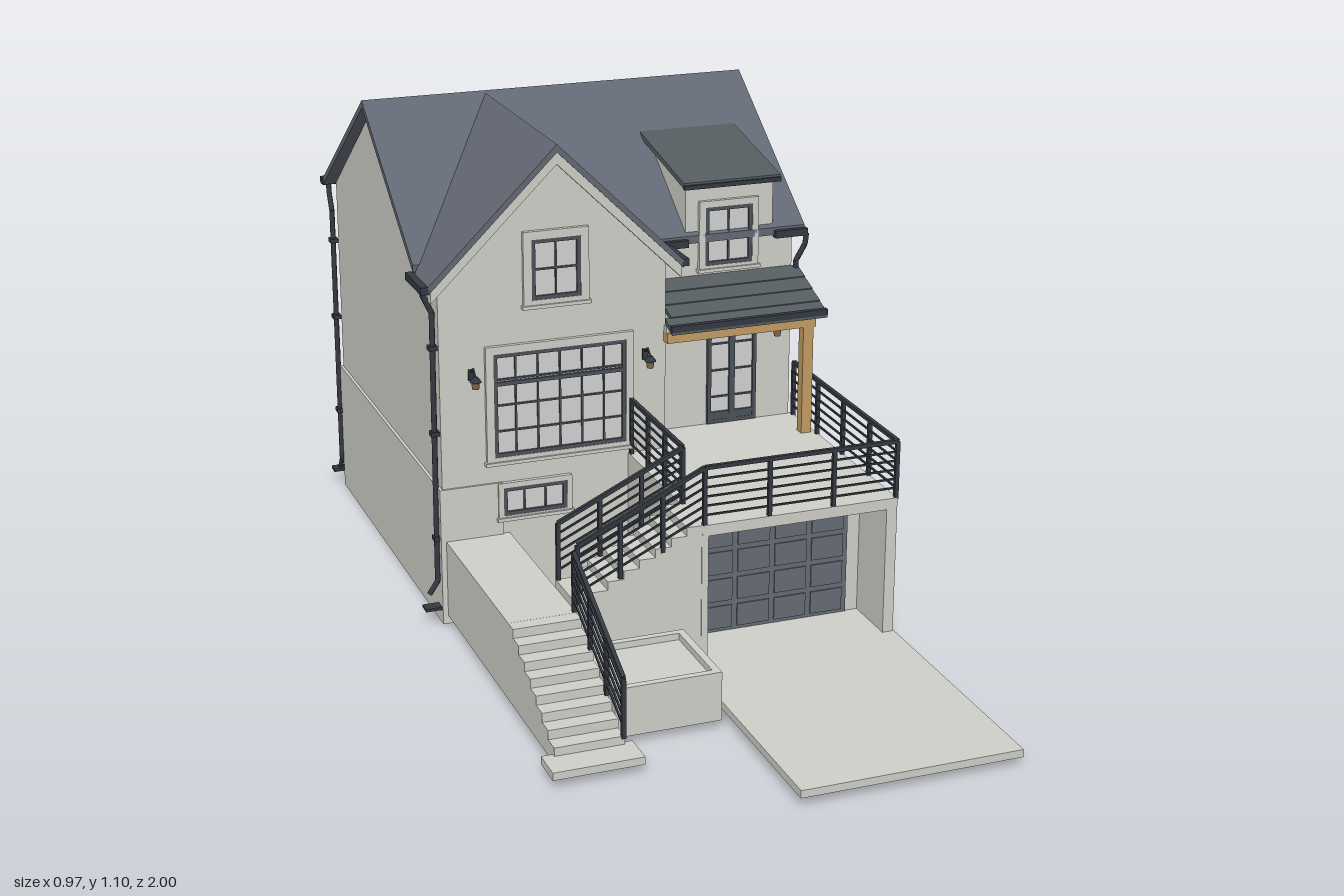
import * as THREE from 'three';

const mat = (name, color) => {
  const m = new THREE.MeshStandardMaterial({ color });
  m.name = name;
  return m;
};
const V = (x, y, z) => new THREE.Vector3(x, y, z);

export function createModel() {
  const model = new THREE.Group();
  model.name = 'house';
  const wall = mat('wall', 0xcfcfc9), roof = mat('roofSlate', 0x626873), metalRoof = mat('metalRoof', 0x555c60);
  const garage = mat('garageDoor', 0x656b75), frame = mat('windowFrame', 0x4c515a), iron = mat('iron', 0x343941);
  const wood = mat('wood', 0xc29c64), glass = mat('glass', 0xd0d2d0), brass = mat('lampBrass', 0x8a6a48);

  const add = (name, geo, m, parent = model) => {
    const mesh = new THREE.Mesh(geo, m);
    mesh.name = name;
    parent.add(mesh);
    return mesh;
  };
  const group = (name) => {
    const g = new THREE.Group();
    g.name = name;
    model.add(g);
    return g;
  };
  const box = (name, m, x0, x1, y0, y1, z0, z1, parent) => {
    const b = add(name, new THREE.BoxGeometry(x1 - x0, y1 - y0, z1 - z0), m, parent);
    b.position.set((x0 + x1) / 2, (y0 + y1) / 2, (z0 + z1) / 2);
    return b;
  };
  // Straight bar between two points, square or round
  const bar = (name, m, a, b, size, parent, round = false) => {
    const len = a.distanceTo(b);
    const geo = round ? new THREE.CylinderGeometry(size / 2, size / 2, len, 8).rotateX(Math.PI / 2)
      : new THREE.BoxGeometry(size, size, len);
    const mesh = add(name, geo, m, parent);
    mesh.position.copy(a).lerp(b, 0.5);
    mesh.lookAt(b);
    return mesh;
  };
  const extrude = (pts, depth) => new THREE.ExtrudeGeometry(
    new THREE.Shape(pts.map(([x, y]) => new THREE.Vector2(x, y))), { depth, bevelEnabled: false });
  // Rectangular ring, lower edge at y0
  const ring = (w, y0, y1, t, depth) => {
    const rect = (C, a, b, c) => new C([[-a, b], [a, b], [a, c], [-a, c]].map(([x, y]) => new THREE.Vector2(x, y)));
    const s = rect(THREE.Shape, w / 2, y0, y1);
    s.holes.push(rect(THREE.Path, w / 2 - t, y0 + t, y1 - t));
    return new THREE.ExtrudeGeometry(s, { depth, bevelEnabled: false });
  };
  // Sloping slab: top corners back-left, front-left, front-right, back-right
  const slab = (name, m, top, t, parent) => {
    const p = top.map((q) => V(...q)), d = p.map((q) => V(q.x, q.y - t, q.z)), out = [];
    const quad = (a, b, c, e) => [a, b, c, a, c, e].forEach((q) => out.push(q.x, q.y, q.z));
    quad(...p);
    quad(d[3], d[2], d[1], d[0]);
    for (let i = 0; i < 4; i++) {
      const j = (i + 1) % 4;
      quad(p[i], d[i], d[j], p[j]);
    }
    const g = new THREE.BufferGeometry();
    g.setAttribute('position', new THREE.Float32BufferAttribute(out, 3));
    g.computeVertexNormals();
    return add(name, g, m, parent);
  };

  // Walls
  add('mainHouse', extrude([[0.165, 0], [0.95, 0], [0.95, 0.805], [0.56, 1.08], [0.165, 0.807]], 0.885)
    .rotateY(Math.PI / 2), wall).position.x = -0.44;
  add('frontGable', extrude([[-0.44, 0], [0.09, 0], [0.09, 0.82], [-0.17, 1.075], [-0.44, 0.81]], 0.36), wall)
    .position.z = -0.055 - 0.36;
  box('rearPlinth', wall, -0.447, 0.46, 0, 0.325, -0.957, -0.2);
  box('leftPlinth', wall, -0.447, -0.3, 0, 0.325, -0.3, -0.05);
  box('rightPlinth', wall, 0.2, 0.46, 0, 0.325, -0.3, 0.27);

  // Garage under the deck
  box('garageBody', wall, 0, 0.455, 0, 0.355, -0.17, 0.265);
  box('deckEdge', wall, 0, 0.455, 0.33, 0.355, 0.26, 0.405);
  box('leftPier', wall, -0.002, 0.013, 0.02, 0.333, 0.26, 0.405);
  box('rightPier', wall, 0.43, 0.455, 0.02, 0.333, 0.26, 0.405);
  box('garageDoor', garage, 0.035, 0.4, 0.035, 0.305, 0.26, 0.273);
  for (let r = 0; r < 4; r++) for (let c = 0; c < 4; c++) {
    const x = 0.047 + c * 0.0885, y = 0.045 + r * 0.065;
    box('garagePanel', garage, x, x + 0.076, y, y + 0.053, 0.27, 0.276);
  }
  box('driveway', wall, -0.03, 0.458, 0.02, 0.037, 0.26, 1);

  // Stairs, landing and planter
  const stairs = group('stairs');
  box('bottomSlab', wall, -0.46, -0.265, 0.02, 0.037, 0.69, 0.765, stairs);
  box('landing', wall, -0.435, -0.285, 0.02, 0.2, -0.055, 0.405, stairs);
  for (let i = 0; i < 8; i++) {
    box('lowerStep', wall, -0.435, -0.285, 0.02, 0.035 + (i + 1) * 0.0206, 0.4, 0.7 - i * 0.0375, stairs);
    box('upperStep', wall, -0.285 + i * 0.0356, 0, 0.02, 0.2 + (i + 1) * 0.0194, 0.27, 0.403, stairs);
  }
  add('planterWalls', ring(0.235, -0.11, 0.11, 0.016, 0.11).rotateX(-Math.PI / 2), wall).position.set(-0.167, 0.02, 0.53);
  box('planterFill', wall, -0.27, -0.06, 0.02, 0.115, 0.43, 0.63);

  // Roofs
  const roofs = group('roofs');
  slab('rearRoof', roof, [[-0.465, 0.81, -0.985], [-0.465, 1.1, -0.56], [0.472, 1.1, -0.56], [0.472, 0.81, -0.985]], 0.018, roofs);
  slab('frontRoof', roof, [[-0.465, 1.1, -0.56], [-0.465, 0.82, -0.155], [0.472, 0.82, -0.155], [0.472, 1.1, -0.56]], 0.018, roofs);
  slab('gableRoofLeft', roof, [[-0.465, 0.805, -0.14], [-0.465, 0.805, -0.033], [-0.17, 1.095, -0.033], [-0.17, 1.095, -0.556]], 0.018, roofs);
  slab('gableRoofRight', roof, [[-0.17, 1.095, -0.556], [-0.17, 1.095, -0.033], [0.125, 0.805, -0.033], [0.125, 0.805, -0.14]], 0.018, roofs);
  slab('rakeTrimLeft', wall, [[-0.46, 0.795, -0.06], [-0.46, 0.795, -0.036], [-0.17, 1.08, -0.036], [-0.17, 1.08, -0.06]], 0.03, roofs);
  slab('rakeTrimRight', wall, [[-0.17, 1.08, -0.06], [-0.17, 1.08, -0.036], [0.12, 0.795, -0.036], [0.12, 0.795, -0.06]], 0.03, roofs);

  // Dormer
  add('dormerWalls', extrude([[0.165, 0.7], [0.43, 0.7], [0.43, 1], [0.165, 0.935]], 0.215).rotateY(Math.PI / 2), wall)
    .position.x = 0.18;
  slab('dormerRoof', metalRoof, [[0.165, 1.012, -0.46], [0.165, 0.95, -0.138], [0.402, 0.95, -0.138], [0.402, 1.012, -0.46]], 0.013);
  box('dormerFascia', iron, 0.165, 0.402, 0.935, 0.945, -0.142, -0.132);

  // Porch canopy: overlapping courses on a timber frame
  const porch = group('porch');
  for (let i = 0; i < 4; i++) {
    const z0 = -0.165 + i * 0.043, y0 = 0.722 - i * 0.0165, x0 = 0.095 - (i === 3 ? 0.014 : 0);
    slab('canopyCourse', metalRoof, [[x0, y0, z0], [x0, y0 - 0.015, z0 + 0.046], [0.46, y0 - 0.015, z0 + 0.046], [0.46, y0, z0]], 0.012, porch);
  }
  box('canopyGutter', iron, 0.08, 0.46, 0.652, 0.666, -0.002, 0.012, porch);
  box('canopyFascia', wall, 0.085, 0.45, 0.635, 0.652, -0.05, -0.035, porch);
  box('frontBeam', wood, 0.085, 0.45, 0.613, 0.637, -0.055, -0.03, porch);
  box('sideBeam', wood, 0.42, 0.445, 0.613, 0.637, -0.165, -0.03, porch);
  box('post', wood, 0.419, 0.444, 0.355, 0.63, -0.055, -0.03, porch);

  // Gutters and downpipes
  const drains = group('drainage');
  const gutter = (x0, x1, y, z0, z1) => box('gutter', iron, x0, x1, y, y + 0.017, z0, z1, drains);
  gutter(-0.468, 0.475, 0.795, -1, -0.98);
  gutter(0.125, 0.18, 0.797, -0.16, -0.142);
  gutter(0.395, 0.475, 0.797, -0.16, -0.142);
  gutter(-0.482, -0.462, 0.788, -0.16, -0.033);
  gutter(0.122, 0.138, 0.79, -0.15, -0.033);
  const pipe = (pts) => pts.slice(1).forEach((p, i) => bar('downpipe', iron, V(...pts[i]), V(...p), 0.013, drains, true));
  for (const x of [-0.45, 0.462]) {
    pipe([[x, 0.8, -0.99], [x, 0.77, -0.985], [x, 0.73, -0.964], [x, 0.07, -0.964], [x, 0.04, -0.985]]);
    box('splashBlock', iron, x - 0.02, x + 0.015, 0.032, 0.04, -0.998, -0.97, drains);
  }
  pipe([[-0.472, 0.8, -0.07], [-0.468, 0.775, -0.07], [-0.449, 0.735, -0.07], [-0.452, 0.1, -0.07], [-0.472, 0.07, -0.07]]);
  box('splashBlock', iron, -0.485, -0.435, 0.033, 0.04, -0.085, -0.055, drains);
  pipe([[0.475, 0.8, -0.15], [0.472, 0.775, -0.15], [0.453, 0.735, -0.157], [0.453, 0.69, -0.157]]);
  for (const y of [0.2, 0.45, 0.65]) {
    for (const x of [-0.45, 0.462]) box('pipeClip', iron, x - 0.01, x + 0.01, y, y + 0.01, -0.973, -0.95, drains);
    box('pipeClip', iron, -0.46, -0.44, y, y + 0.01, -0.08, -0.06, drains);
  }

  // Windows and door: ring surround, dark frame, glass and glazing bars
  const opening = (name, w, y0, y1, cols, rows, trim, x, z, turn = 0) => {
    const g = group(name);
    if (trim) {
      add('surround', ring(w + trim * 2, y0 - trim, y1 + trim, trim, 0.01), wall, g);
      box('sill', wall, -w / 2 - trim - 0.004, w / 2 + trim + 0.004, y0 - trim, y0 - trim + 0.008, 0, 0.015, g);
    }
    add('frame', ring(w, y0, y1, 0.009, 0.009), frame, g);
    box('pane', glass, -w / 2 + 0.005, w / 2 - 0.005, y0 + 0.005, y1 - 0.005, 0, 0.003, g);
    for (let i = 1; i < cols; i++) {
      const bx = -w / 2 + (w * i) / cols;
      box('uprightBar', frame, bx - 0.002, bx + 0.002, y0, y1, 0.001, 0.007, g);
    }
    for (let i = 1; i < rows; i++) {
      const by = y0 + ((y1 - y0) * i) / rows;
      box('crossBar', frame, -w / 2, w / 2, by - 0.002, by + 0.002, 0.001, 0.007, g);
    }
    g.position.set(x, 0, z);
    g.rotation.y = turn;
    return g;
  };
  const big = opening('livingWindow', 0.311, 0.387, 0.63, 6, 4, 0.018, -0.163, -0.055);
  box('transom', frame, -0.153, 0.153, 0.555, 0.564, 0.001, 0.009, big);
  opening('gableWindow', 0.114, 0.745, 0.883, 2, 2, 0.019, -0.17, -0.055);
  opening('dormerWindow', 0.116, 0.745, 0.883, 2, 2, 0.015, 0.284, -0.165);
  opening('basementWindow', 0.15, 0.245, 0.312, 3, 1, 0.012, -0.225, -0.055);
  const door = opening('frontDoor', 0.122, 0.357, 0.617, 2, 4, 0, 0.296, -0.165);
  box('meetingStile', frame, -0.007, 0.007, 0.357, 0.617, 0.001, 0.009, door);
  box('bottomRail', frame, -0.06, 0.06, 0.357, 0.385, 0.001, 0.008, door);
  opening('sideWindow', 0.118, 0.507, 0.618, 2, 1, 0.008, 0.445, -0.705, Math.PI / 2);
  opening('rearWindow', 0.355, 0.45, 0.6, 3, 1, 0.018, -0.147, -0.95, Math.PI);

  // Railings
  const railing = (a, b, posts) => {
    const g = group('railing');
    const at = (p, h) => V(p[0], p[1] + h, p[2]);
    for (let i = 0; i < posts; i++) {
      const p = at(a, 0).lerp(at(b, 0), i / (posts - 1));
      bar('railPost', iron, V(p.x, p.y - 0.004, p.z), V(p.x, p.y + 0.13, p.z), 0.009, g);
    }
    for (const h of [0.022, 0.043, 0.064, 0.085, 0.106]) bar('railWire', iron, at(a, h), at(b, h), 0.004, g);
    bar('handrail', iron, at(a, 0.13), at(b, 0.13), 0.009, g);
  };
  railing([0.005, 0.355, 0.4], [0.453, 0.355, 0.4], 4);
  railing([0.453, 0.355, 0.4], [0.453, 0.355, -0.155], 5);
  railing([0.005, 0.355, 0.27], [0.005, 0.355, -0.045], 4);
  railing([-0.28, 0.22, 0.4], [0.005, 0.355, 0.4], 4);
  railing([-0.28, 0.22, 0.273], [0.005, 0.355, 0.273], 4);
  railing([-0.288, 0.055, 0.7], [-0.288, 0.205, 0.4], 4);

  // Wall lamps
  for (const [x, z] of [[-0.368, -0.055], [0.04, -0.055], [0.397, -0.165]]) {
    const g = group('wallLamp');
    box('backPlate', iron, -0.006, 0.006, 0.575, 0.6, 0, 0.005, g);
    pipeArm(g);
    add('shade', new THREE.CylinderGeometry(0.005, 0.014, 0.012, 8).translate(0, 0.588, 0.036), iron, g);
    add('lantern', new THREE.CylinderGeometry(0.01, 0.008, 0.016, 8).translate(0, 0.574, 0.036), brass, g);
    g.position.set(x, 0, z);
  }
  function pipeArm(g) {
    bar('arm', iron, V(0, 0.595, 0.002), V(0, 0.607, 0.02), 0.004, g);
    bar('arm', iron, V(0, 0.607, 0.02), V(0, 0.592, 0.036), 0.004, g);
  }
  return model;
}
